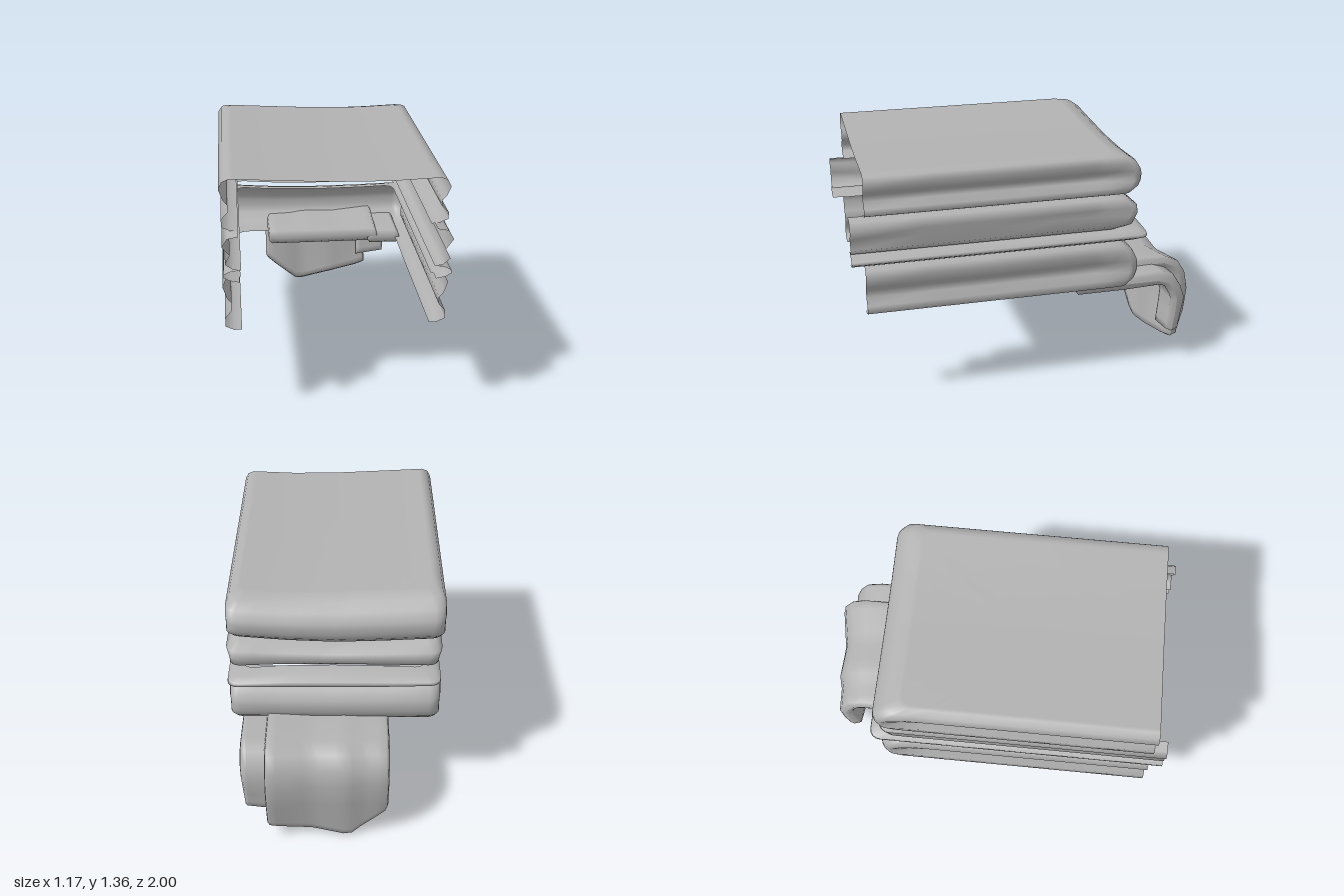
import * as THREE from 'three';

const cloth = new THREE.MeshStandardMaterial({ color: 0xb2b2b2, side: THREE.DoubleSide });
cloth.name = 'grey cloth';

// Piecewise linear lookup
function interp(xs, vs, x) {
  if (x <= xs[0]) return vs[0];
  for (let i = 1; i < xs.length; i++) {
    if (x <= xs[i]) return THREE.MathUtils.mapLinear(x, xs[i - 1], xs[i], vs[i - 1], vs[i]);
  }
  return vs[vs.length - 1];
}

// Smooth skin over rows of points, optionally closed around each row
function skin(name, rows, closed) {
  const n = rows[0].length, index = [];
  for (let i = 0; i < rows.length - 1; i++) {
    for (let j = 0; j < (closed ? n : n - 1); j++) {
      const k = (j + 1) % n;
      const a = i * n + j, b = i * n + k, c = a + n, d = b + n;
      index.push(a, c, b, b, c, d);
    }
  }
  const geo = new THREE.BufferGeometry();
  geo.setAttribute('position', new THREE.Float32BufferAttribute(rows.flat(2), 3));
  geo.setIndex(index);
  geo.computeVertexNormals();
  const mesh = new THREE.Mesh(geo, cloth);
  mesh.name = name;
  return mesh;
}

// Heights of the seams between the folded layers, across x
const seamX = [-0.55, -0.27, 0, 0.27, 0.55];
const seams = {
  top: [1.378, 1.362, 1.348, 1.344, 1.355],
  upper: [1.105, 1.088, 1.078, 1.09, 1.115],
  middle: [0.92, 0.93, 0.935, 0.93, 0.905],
  lower: [0.86, 0.838, 0.83, 0.832, 0.84],
  bottom: [0.555, 0.555, 0.555, 0.555, 0.555],
};

// Side and back wall of a folded towel; each row is [height share, half width, back z, side groove]
function towel(name, topSeam, bottomSeam, front, shift, profile) {
  const rows = profile.map(([t, w, back, groove = 0]) => {
    const r = Math.min(0.06, w), half = [];
    for (const s of [0, 0.25, 0.5, 0.75, 0.87, 0.93, 1]) {
      const depth = s < 0.9 ? groove : s < 0.95 ? groove * 0.6 : 0;
      half.push([w - depth, THREE.MathUtils.lerp(front, back + r, s)]);
    }
    for (let k = 1; k <= 4; k++) {
      const a = (k / 4) * Math.PI / 2;
      half.push([w - r + r * Math.cos(a), back + r - r * Math.sin(a)]);
    }
    for (let k = 1; k <= 6; k++) half.push([(w - r) * (1 - k / 6), back]);
    const mirrored = half.slice(0, -1).reverse().map(([x, z]) => [-x, z]);
    return [...half, ...mirrored].map(([x, z]) => {
      const y0 = interp(seamX, seams[bottomSeam], x), y1 = interp(seamX, seams[topSeam], x);
      return [x + shift, y0 + (y1 - y0) * t, z];
    });
  });
  return skin(name, rows, false);
}

// Thick hanging cloth: a centre path in z and y, thickened, repeated across x
function drape(name, x0, x1, thick, pathAt) {
  const rows = [], steps = 14, inset = 0.018;
  const stations = [[x0, 0], [x0 + 0.006, 0.65]];
  for (let i = 0; i <= steps; i++) {
    stations.push([THREE.MathUtils.lerp(x0 + inset, x1 - inset, i / steps), 1]);
  }
  stations.push([x1 - 0.006, 0.65], [x1, 0]);
  for (const [x, e] of stations) {
    const p = pathAt(x), outer = [], inner = [], last = p.length - 1;
    for (let i = 1; i < last; i++) {
      const dz = p[i + 1][0] - p[i - 1][0], dy = p[i + 1][1] - p[i - 1][1];
      const k = thick * e / Math.hypot(dz, dy);
      outer.push([x, p[i][1] - dz * k, p[i][0] + dy * k]);
      inner.unshift([x, p[i][1] + dz * k, p[i][0] - dy * k]);
    }
    rows.push([[x, p[0][1], p[0][0]], ...outer, [x, p[last][1], p[last][0]], ...inner]);
  }
  return skin(name, rows, true);
}

export function createModel() {
  const group = new THREE.Group();
  group.name = 'foldedTowels';

  // Thick folds with a groove along both sides
  const fold = [
    [1, 0.53, -0.46], [0.94, 0.565, -0.52], [0.8, 0.583, -0.57], [0.6, 0.583, -0.6, 0.02],
    [0.5, 0.58, -0.605, 0.04], [0.36, 0.58, -0.605, 0.04], [0.22, 0.583, -0.59, 0.008],
    [0.07, 0.575, -0.55], [0, 0.53, -0.47], [0, 0.49, -0.42],
  ];
  const lid = [[1, 0, 0.3], [1, 0.14, 0.05], [1, 0.28, -0.16], [1, 0.42, -0.34], [1, 0.51, -0.44]];
  group.add(towel('topTowel', 'top', 'upper', 0.92, -0.008, [...lid, ...fold]));
  group.add(towel('bottomTowel', 'lower', 'bottom', 0.93, -0.004, [[1, 0.49, -0.42], ...fold]));

  // Thinner layers between them
  group.add(towel('middleTowel', 'upper', 'middle', 1, 0, [
    [1, 0.5, -0.45], [0.93, 0.555, -0.53], [0.7, 0.583, -0.585], [0.45, 0.57, -0.595, 0.025],
    [0.2, 0.57, -0.57], [0.03, 0.53, -0.5], [0, 0.49, -0.45],
  ]));
  group.add(towel('thinTowel', 'middle', 'lower', 1, 0, [
    [1, 0.5, -0.54], [0.9, 0.55, -0.61], [0.65, 0.578, -0.65], [0.4, 0.58, -0.655],
    [0.12, 0.55, -0.62], [0, 0.5, -0.54],
  ]));

  // Wide cloth hanging down behind, with a pointed hem
  group.add(drape('wideHangingCloth', -0.305, 0.375, 0.04, (x) => {
    const s = interp([-0.31, -0.14, -0.08, 0.12, 0.36], [0, 0.01, 0.032, 0.022, 0.068], x);
    const b = interp([-0.305, -0.28, -0.09, 0.12, 0.34, 0.375], [0.2, 0.165, 0.005, 0.055, 0.093, 0.11], x);
    const y = s * 0.45;
    return [
      [-0.25, 0.57], [-0.27, 0.57], [-0.55, 0.567 + y], [-0.77 - s, 0.567 + y], [-0.83 - s, 0.54 + y],
      [-0.868 - s, 0.48 + y], [-0.888 - s, 0.41], [-0.875 - s, 0.28], [-0.862 - s * 0.7, b + 0.05],
      [-0.858 - s * 0.7, b + 0.018], [-0.856 - s * 0.7, b],
    ];
  }));

  // Narrow cloth beside it
  group.add(drape('narrowHangingCloth', 0.312, 0.515, 0.04, (x) => {
    const b = interp([0.312, 0.5], [0.185, 0.208], x);
    const s = interp([0.31, 0.49, 0.515], [0, 0.012, 0], x);
    return [
      [-0.25, 0.555], [-0.27, 0.555], [-0.55, 0.555], [-0.75 - s, 0.555 + s], [-0.81 - s, 0.535 + s],
      [-0.85 - s, 0.48], [-0.873 - s, 0.42], [-0.868, 0.32], [-0.86, b + 0.05], [-0.858, b + 0.015], [-0.857, b],
    ];
  }));
  // Narrow the free hem of the small cloth
  const pos = group.getObjectByName('narrowHangingCloth').geometry.attributes.position;
  for (let i = 0; i < pos.count; i++) {
    const drop = THREE.MathUtils.clamp((0.5 - pos.getY(i)) / 0.3, 0, 1);
    pos.setX(i, pos.getX(i) - Math.max(0, pos.getX(i) - 0.312) * 0.1 * drop);
  }
  return group;
}
